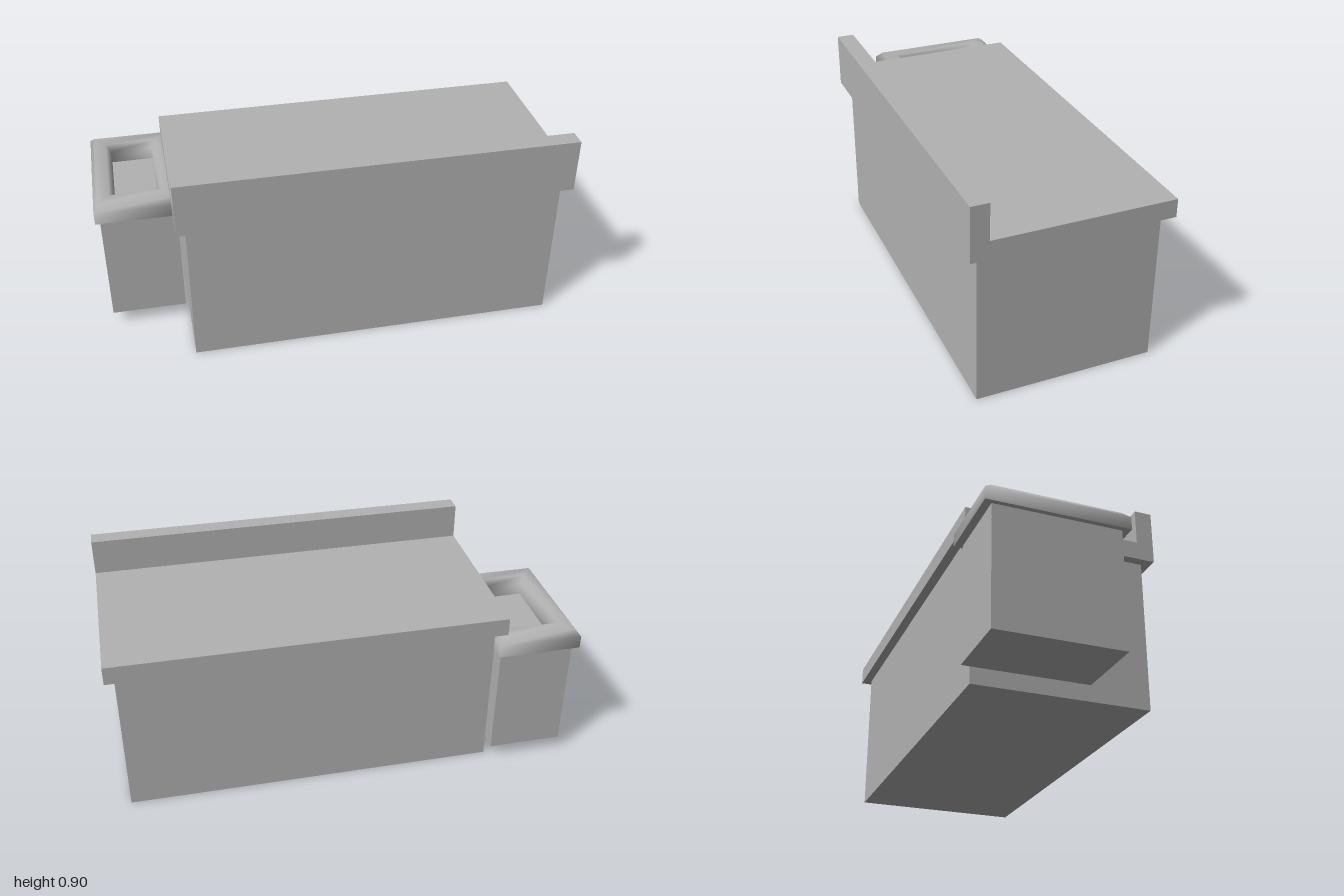
import * as THREE from 'three';

const grey = new THREE.MeshStandardMaterial({ color: 0xb2b2b2 });
grey.name = 'plain grey';

// Box given by its limits on each axis
function box(name, [x0, x1], [y0, y1], [z0, z1]) {
  const mesh = new THREE.Mesh(new THREE.BoxGeometry(x1 - x0, y1 - y0, z1 - z0), grey);
  mesh.position.set((x0 + x1) / 2, (y0 + y1) / 2, (z0 + z1) / 2);
  mesh.name = name;
  return mesh;
}

// Rectangular ring swept from a profile of [inset x, inset z, y]; corners are smooth
function rectRing(profile, halfX, halfZ) {
  const corners = [[-1, -1], [-1, 1], [1, 1], [1, -1]];
  const positions = [], index = [];
  const n = profile.length;
  for (const [sx, sz] of corners)
    for (const [ix, iz, y] of profile) positions.push(sx * (halfX - ix), y, sz * (halfZ - iz));
  for (let c = 0; c < 4; c++) {
    const d = (c + 1) % 4;
    for (let i = 0; i < n - 1; i++) {
      const a = c * n + i, b = d * n + i;
      index.push(a, b, b + 1, a, b + 1, a + 1);
    }
  }
  const geometry = new THREE.BufferGeometry();
  geometry.setAttribute('position', new THREE.Float32BufferAttribute(positions, 3));
  geometry.setIndex(index);
  geometry.computeVertexNormals();
  return geometry;
}

export function createModel() {
  const model = new THREE.Group();
  model.name = 'counter';

  // Counter body
  model.add(box('counterBody', [-0.64, 0.96], [0, 0.663], [-0.362, 0.395]));

  // Worktop with raised front ledge: L-shaped profile run along x
  const profile = new THREE.Shape([
    [-0.435, 0.663], [0.403, 0.663], [0.403, 0.742],
    [-0.36, 0.742], [-0.36, 0.897], [-0.435, 0.897],
  ].map(([x, y]) => new THREE.Vector2(x, y)));
  const topGeometry = new THREE.ExtrudeGeometry(profile, { depth: 1.68, bevelEnabled: false });
  topGeometry.rotateY(Math.PI / 2);
  const worktop = new THREE.Mesh(topGeometry, grey);
  worktop.position.x = -0.68;
  worktop.name = 'worktop';
  model.add(worktop);

  // Side bin with a soft, hollow rim
  const bin = new THREE.Group();
  bin.name = 'sideBin';
  bin.add(box('binBody', [-0.98, -0.656], [0.063, 0.577], [-0.403, 0.13]));
  const rim = new THREE.Group();
  rim.name = 'binRim';
  rim.position.set(-0.819, 0, -0.137);
  const upper = [
    [0, 0, 0.575], [0, 0, 0.63], [0.02, 0.03, 0.655],
    [0.07, 0.09, 0.655], [0.09, 0.12, 0.63], [0.09, 0.12, 0.575],
  ];
  const under = [[0.09, 0.12, 0.575], [0, 0, 0.575]];
  for (const [name, points] of [['rimTop', upper], ['rimUnderside', under]]) {
    const mesh = new THREE.Mesh(rectRing(points, 0.181, 0.298), grey);
    mesh.name = name;
    rim.add(mesh);
  }
  bin.add(rim);
  model.add(bin);

  return model;
}
